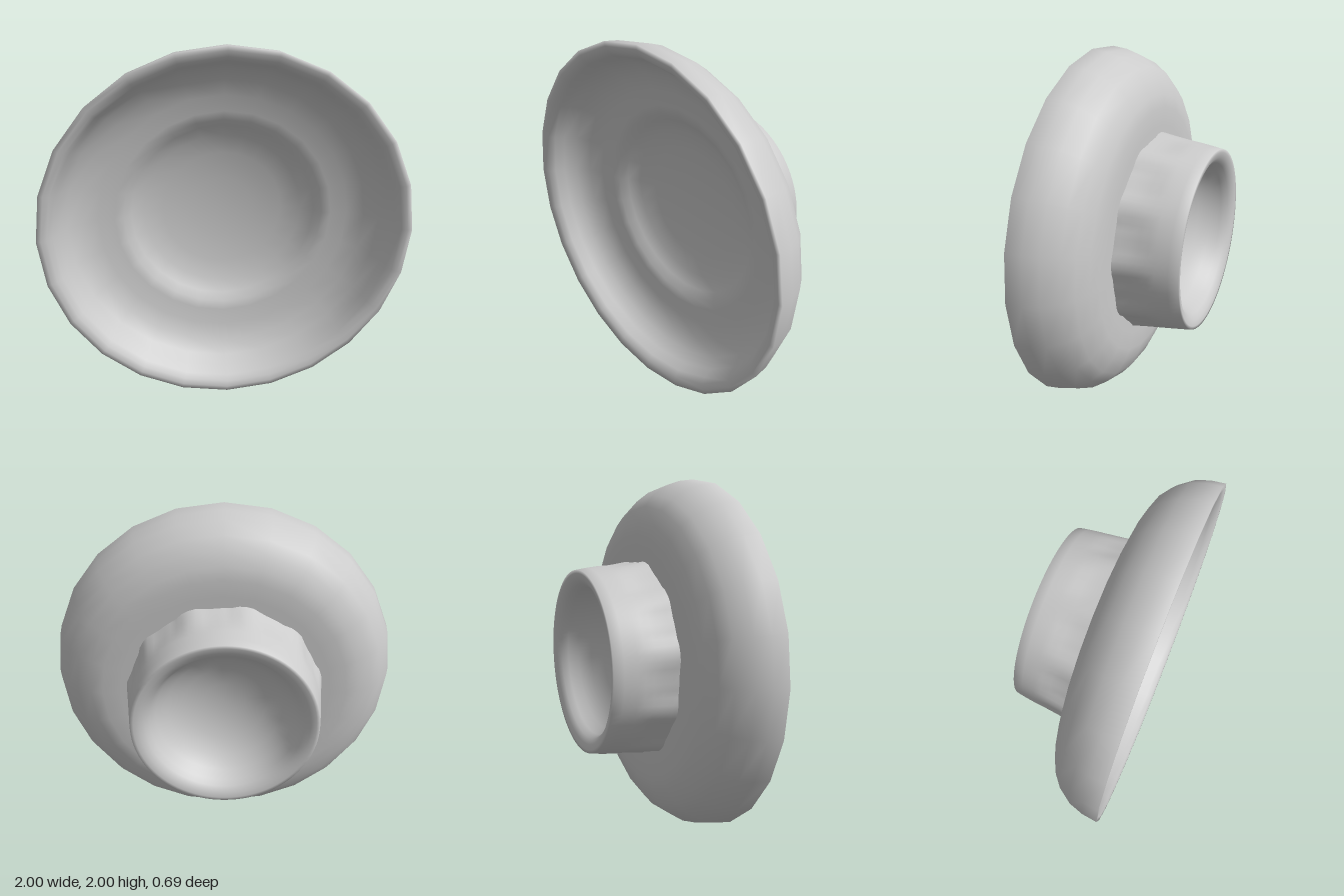
import * as THREE from 'three';
import { mergeVertices } from 'three/addons/utils/BufferGeometryUtils.js';

const material = new THREE.MeshStandardMaterial({ color: 0xcccccc });

// Revolve [radius, z] points around the z axis; reshape may return a new radius.
function revolve(name, profile, segments, reshape = (r) => r) {
  const points = profile.map(([r, z]) => new THREE.Vector2(r, z));
  let geometry = new THREE.LatheGeometry(points, segments);
  geometry.rotateX(Math.PI / 2);
  geometry.deleteAttribute('uv');
  geometry.deleteAttribute('normal');
  const p = geometry.attributes.position;
  for (let i = 0; i < p.count; i++) {
    const x = p.getX(i), y = p.getY(i), r = Math.hypot(x, y);
    if (r < 1e-6) continue;
    const k = reshape(r, Math.atan2(y, x), p.getZ(i)) / r;
    p.setXY(i, x * k, y * k);
  }
  geometry = mergeVertices(geometry, 1e-5);
  geometry.computeVertexNormals();
  const mesh = new THREE.Mesh(geometry, material);
  mesh.name = name;
  mesh.position.y = 1;
  return mesh;
}

export function createModel() {
  const model = new THREE.Group();
  model.name = 'footedDish';

  // Dish: flat back, rounded shoulder, soft rim, deep hollow with a bowl-shaped centre
  const dish = revolve('dish', [
    [0.5, 0], [0.6, 0], [0.7, 0], [0.77, 0.016], [0.85, 0.05], [0.91, 0.1],
    [0.965, 0.18], [0.99, 0.26], [1, 0.345], [0.975, 0.345], [0.945, 0.335],
    [0.92, 0.305], [0.9, 0.25], [0.86, 0.185], [0.79, 0.13], [0.7, 0.098],
    [0.61, 0.085], [0.56, 0.072], [0.52, 0.035], [0.45, -0.005], [0.34, -0.035],
    [0.18, -0.055], [0, -0.06],
  ], 24);

  // Foot: tapered ring with a rounded lip, a bowl-shaped hollow and shallow flutes
  const ribs = 11, phase = THREE.MathUtils.degToRad(5);
  const foot = revolve('flutedFoot', [
    [0, -0.085], [0.12, -0.092], [0.23, -0.118], [0.32, -0.165], [0.38, -0.225],
    [0.41, -0.28], [0.43, -0.315], [0.46, -0.337], [0.49, -0.345], [0.508, -0.345],
    [0.517, -0.29], [0.527, -0.22], [0.533, -0.18], [0.54, -0.13],
    [0.547, -0.08], [0.555, -0.03], [0.56, 0.002],
  ], 88, (r, angle, z) => {
    if (r < 0.515) return r;
    const wave = 0.5 - 0.5 * Math.cos(ribs * (angle - phase));
    const along = THREE.MathUtils.smoothstep(z, -0.25, -0.06);
    return r - 0.018 * along * THREE.MathUtils.smoothstep(wave, 0, 0.7);
  });

  model.add(dish, foot);
  return model;
}
